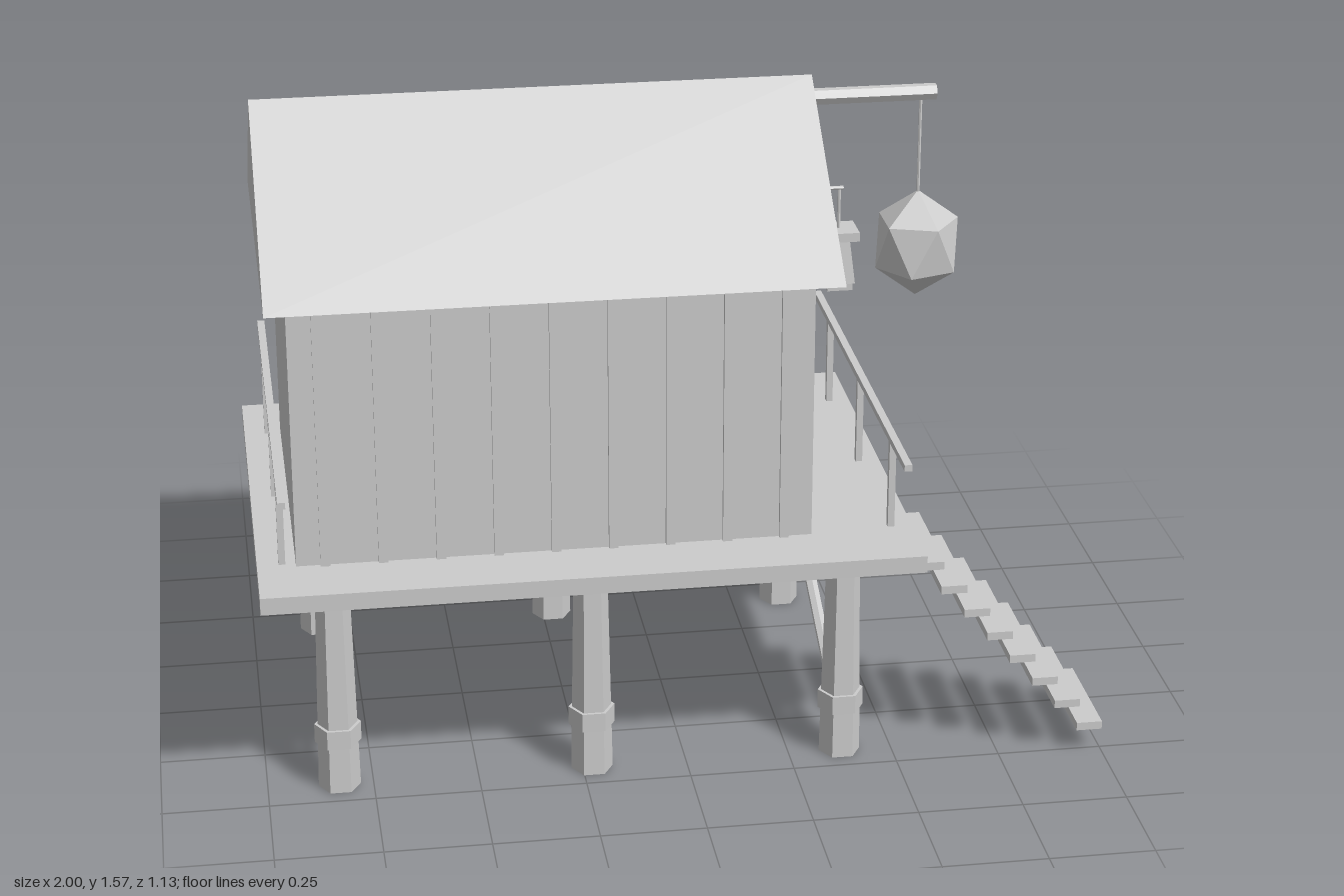
import * as THREE from 'three';
import { ConvexGeometry } from 'three/addons/geometries/ConvexGeometry.js';

export function createModel() {
  const model = new THREE.Group();
  model.name = 'stiltHut';
  const grey = new THREE.MeshStandardMaterial({ color: 0xcccccc, flatShading: true });
  grey.name = 'plain grey';

  const add = (name, geometry) => {
    const mesh = new THREE.Mesh(geometry, grey);
    mesh.name = name;
    model.add(mesh);
    return mesh;
  };
  // Box given by its extents on each axis
  const box = (name, x0, x1, y0, y1, z0, z1) => {
    const mesh = add(name, new THREE.BoxGeometry(x1 - x0, y1 - y0, z1 - z0));
    mesh.position.set((x0 + x1) / 2, (y0 + y1) / 2, (z0 + z1) / 2);
    return mesh;
  };
  // Upright low-poly post
  const post = (name, rTop, rBottom, y0, y1, x, z, sides, turn) => {
    const g = new THREE.CylinderGeometry(rTop, rBottom, y1 - y0, sides).rotateY(turn);
    add(name, g).position.set(x, (y0 + y1) / 2, z);
  };
  // Straight rod between two points
  const rod = (name, a, b, r) => {
    const from = new THREE.Vector3(...a), to = new THREE.Vector3(...b);
    const dir = to.clone().sub(from);
    const mesh = add(name, new THREE.CylinderGeometry(r, r, dir.length(), 6));
    mesh.position.copy(from).add(to).multiplyScalar(0.5);
    mesh.quaternion.setFromUnitVectors(new THREE.Vector3(0, 1, 0), dir.normalize());
  };

  // Platform and house
  box('deck', -1, 0.545, 0.53, 0.572, -0.565, 0.565);
  box('walls', -0.91, 0.3, 0.572, 1.215, -0.406, 0.406);
  for (const side of [-1, 1]) {
    for (let i = 0; i < 9; i++) {
      const x = -0.91 + (i + 0.5) * 1.21 / 9;
      const z0 = side * 0.404, z1 = side * 0.416;
      box('wallBatten', x - 0.011, x + 0.011, 0.572, 1.215, Math.min(z0, z1), Math.max(z0, z1));
    }
  }

  // Gabled roof
  const gable = new THREE.Shape([
    new THREE.Vector2(-0.462, 1.213),
    new THREE.Vector2(0.462, 1.213),
    new THREE.Vector2(0, 1.573),
  ]);
  const roof = new THREE.ExtrudeGeometry(gable, { depth: 1.32, bevelEnabled: false });
  add('roof', roof.rotateY(Math.PI / 2).translate(-0.96, 0, 0));

  // Door and windows
  box('door', 0.298, 0.308, 0.58, 1.015, -0.104, 0.104);
  for (const z of [-0.268, 0.268]) {
    box('window', 0.298, 0.308, 0.873, 1.025, z - 0.065, z + 0.065);
  }
  box('backWindow', -0.395, -0.21, 0.873, 1.025, -0.422, -0.4);

  // Stilts with collars
  for (const x of [-0.83, -0.227, 0.375]) {
    for (const z of [-0.418, 0.418]) {
      post('stilt', 0.04, 0.05, 0, 0.53, x, z, 6, Math.PI / 6);
      post('stiltCollar', 0.055, 0.055, 0.118, 0.165, x, z, 6, Math.PI / 6);
    }
  }
  for (const x of [-0.83, 0.375]) {
    rod('brace', [x, 0.085, 0.4], [x, 0.47, -0.4], 0.015);
  }

  // Stair treads
  for (let i = 0; i < 8; i++) {
    const x = 0.565 + i * 0.0575, y = 0.523 - i * 0.0648;
    box('stairTread', x - 0.031, x + 0.031, y - 0.01, y + 0.01, 0.24, 0.52);
  }

  // Railings at both ends
  for (const x of [-0.942, 0.494]) {
    box('rail', x - 0.009, x + 0.009, 0.789, 0.805, -0.56, 0.56);
    for (const z of [-0.384, 0, 0.384]) {
      box('railPost', x - 0.008, x + 0.008, 0.572, 0.789, z - 0.008, z + 0.008);
    }
  }

  // Ridge beam with a hanging faceted float
  rod('ridgeBeam', [0.3, 1.518, 0], [0.66, 1.518, 0], 0.02);
  rod('floatRope', [0.624, 1.25, 0], [0.624, 1.515, 0], 0.004);
  const points = [new THREE.Vector3(0, 0.134, 0), new THREE.Vector3(0, -0.134, 0)];
  for (let i = 0; i < 5; i++) {
    const a = i * Math.PI * 0.4;
    points.push(new THREE.Vector3(0.1 * Math.cos(a), 0.06, 0.1 * Math.sin(a)));
    points.push(new THREE.Vector3(-0.1 * Math.cos(a), -0.06, -0.1 * Math.sin(a)));
  }
  add('hangingFloat', new ConvexGeometry(points)).position.set(0.624, 1.138, 0);

  // Lantern on a wall bracket
  const lx = 0.49, lz = -0.285, q = Math.PI / 4, s = Math.SQRT2;
  rod('lanternArm', [0.29, 1.184, lz], [0.5, 1.184, lz], 0.005);
  rod('lanternHook', [lx, 1.07, lz], [lx, 1.184, lz], 0.004);
  box('lanternCap', lx - 0.045, lx + 0.045, 1.056, 1.079, lz - 0.045, lz + 0.045);
  post('lanternBody', 0.024 * s, 0.037 * s, 0.942, 1.056, lx, lz, 4, q);
  box('lanternBase', lx - 0.032, lx + 0.032, 0.923, 0.942, lz - 0.032, lz + 0.032);

  return model;
}
